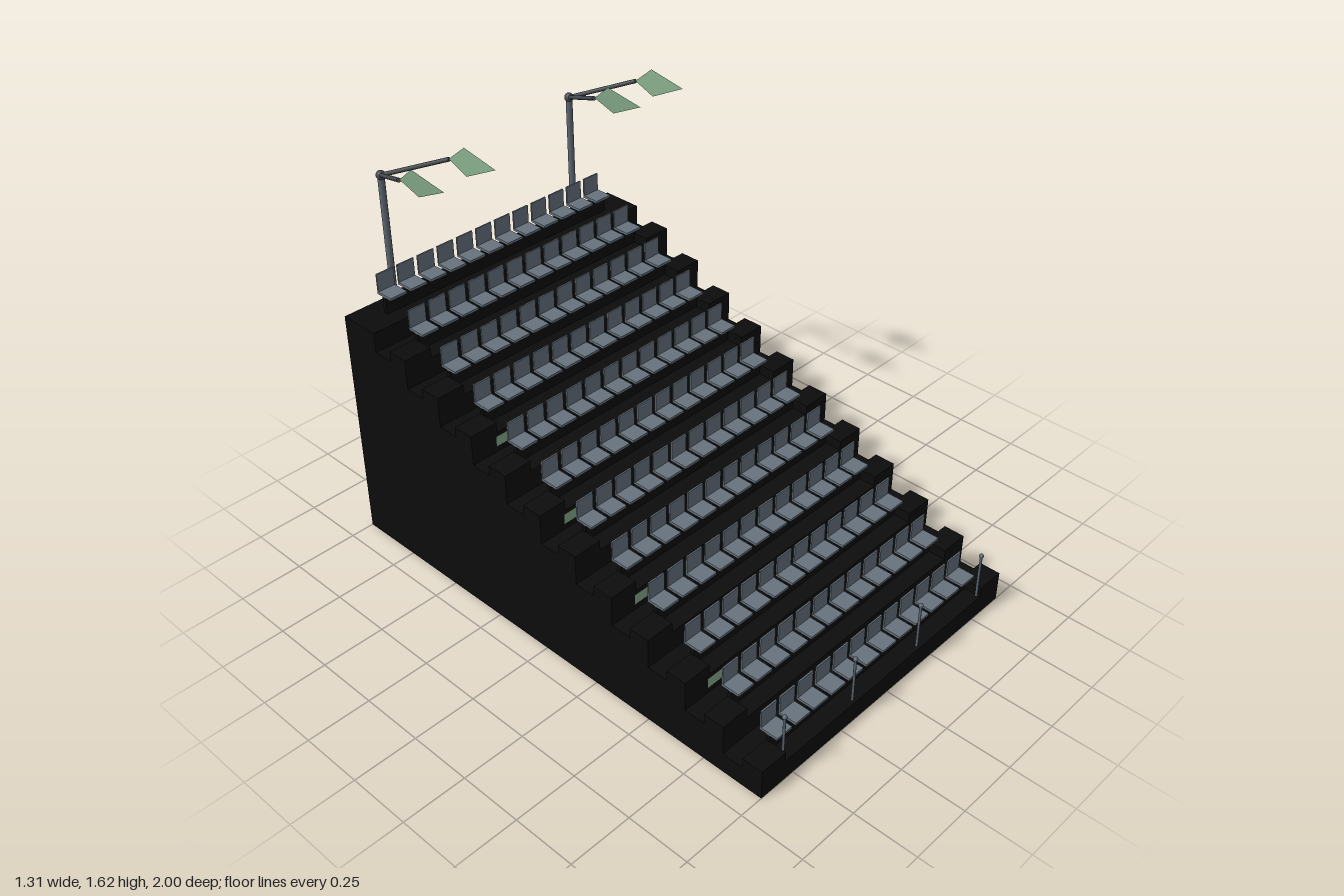
import * as THREE from 'three';

const mat = (name, color, extra = {}) => {
  const m = new THREE.MeshStandardMaterial({ color, ...extra });
  m.name = name;
  return m;
};

export function createModel() {
  const concrete = mat('black concrete', 0x0c0c0c);
  const seatGrey = mat('seat grey', 0x67737e);
  const poleGrey = mat('pole grey', 0x5c6771);
  const armGrey = mat('arm grey', 0x43494f);
  const green = mat('lamp green', 0x86ab8b, { side: THREE.DoubleSide });

  const model = new THREE.Group();
  model.name = 'grandstand';
  const add = (parent, name, geo, material, x = 0, y = 0, z = 0) => {
    const m = new THREE.Mesh(geo, material);
    m.name = name;
    m.position.set(x, y, z);
    parent.add(m);
    return m;
  };
  // Straight round bar between two points
  const bar = (parent, name, a, b, r, material) => {
    const dir = b.clone().sub(a);
    const m = add(parent, name, new THREE.CylinderGeometry(r, r, dir.length(), 10), material);
    m.position.copy(a).addScaledVector(dir, 0.5);
    m.quaternion.setFromUnitVectors(new THREE.Vector3(0, 1, 0), dir.normalize());
  };

  const rows = 12, seats = 12, halfWidth = 0.655, pitch = 1 / 6;
  const tread = i => 0.08 + 0.0791 * i;
  const front = i => 1 - i * pitch;

  // Stepped terrace: side profile extruded across the width
  const profile = new THREE.Shape();
  profile.moveTo(-1, 0);
  for (let i = 0; i < rows; i++) {
    profile.lineTo(-front(i), tread(i));
    profile.lineTo(-front(i + 1), tread(i));
  }
  profile.lineTo(1, 0);
  profile.closePath();
  const terrace = new THREE.ExtrudeGeometry(profile, { depth: halfWidth * 2, bevelEnabled: false });
  terrace.translate(0, 0, -halfWidth).rotateY(Math.PI / 2);
  add(model, 'terrace', terrace, concrete);

  // Aisle half steps on both sides
  const stepGeo = new THREE.BoxGeometry(0.115, 0.04, pitch / 2);
  for (let i = 0; i < rows - 1; i++) {
    for (const s of [-1, 1]) {
      add(model, 'aisleStep', stepGeo, concrete, s * (halfWidth - 0.0575), tread(i) + 0.02, front(i) - pitch / 4);
    }
  }

  // Seat rows, each on a continuous support rail
  const railGeo = new THREE.BoxGeometry(1.085, 0.068, 0.016);
  const panGeo = new THREE.BoxGeometry(0.074, 0.01, 0.074);
  const backGeo = new THREE.BoxGeometry(0.074, 0.077, 0.006);
  for (let i = 0; i < rows; i++) {
    const row = new THREE.Group();
    row.name = 'seatRow';
    row.position.set(0, tread(i), front(i));
    model.add(row);
    add(row, 'seatSupport', railGeo, concrete, 0, 0.034, -0.075);
    for (let j = 0; j < seats; j++) {
      const x = (j - (seats - 1) / 2) * 0.092;
      add(row, 'seatPan', panGeo, seatGrey, x, 0.073, -0.073);
      add(row, 'seatBack', backGeo, seatGrey, x, 0.1105, -0.107);
    }
  }

  // Row markers on the risers of every second row
  const markerGeo = new THREE.PlaneGeometry(0.075, 0.04);
  for (const i of [2, 4, 6, 8]) {
    add(model, 'rowMarker', markerGeo, green, -0.51, tread(i) - 0.035, front(i) + 0.002);
  }

  // Front barrier posts
  const postGeo = new THREE.CylinderGeometry(0.005, 0.005, 0.185, 8);
  const capGeo = new THREE.SphereGeometry(0.009, 10, 8);
  for (let k = 0; k < 4; k++) {
    const x = (k - 1.5) * 0.358;
    add(model, 'barrierPost', postGeo, poleGrey, x, 0.1725, 0.985);
    add(model, 'barrierCap', capGeo, poleGrey, x, 0.265, 0.985);
  }

  // Floodlight masts: pole, knuckle, two arms with thin lamp panels
  const corners = [[-0.49, 1.588], [-0.65, 1.615], [-0.728, 1.549], [-0.635, 1.516]];
  const poleZ = -0.98, topY = 1.44;
  for (const side of [-1, 1]) {
    const mast = new THREE.Group();
    mast.name = 'floodlightMast';
    mast.position.x = side * 0.447;
    model.add(mast);
    add(mast, 'pole', new THREE.CylinderGeometry(0.013, 0.013, topY - 0.93, 12), poleGrey, 0, (topY + 0.93) / 2, poleZ);
    add(mast, 'knuckle', new THREE.SphereGeometry(0.018, 12, 8), armGrey, 0, topY, poleZ);
    for (const s of [-1, 1]) {
      bar(mast, 'lampArm', new THREE.Vector3(0, topY, poleZ), new THREE.Vector3(s * 0.107, 1.548, -0.728), 0.008, armGrey);
      const pts = corners.flatMap(([z, y]) => [s * (0.105 + (y - 1.55) * 0.1), y, z]);
      const panel = new THREE.BufferGeometry();
      panel.setAttribute('position', new THREE.Float32BufferAttribute(pts, 3));
      panel.setIndex([0, 1, 2, 0, 2, 3]);
      panel.computeVertexNormals();
      add(mast, 'lampPanel', panel, green);
    }
  }
  return model;
}
